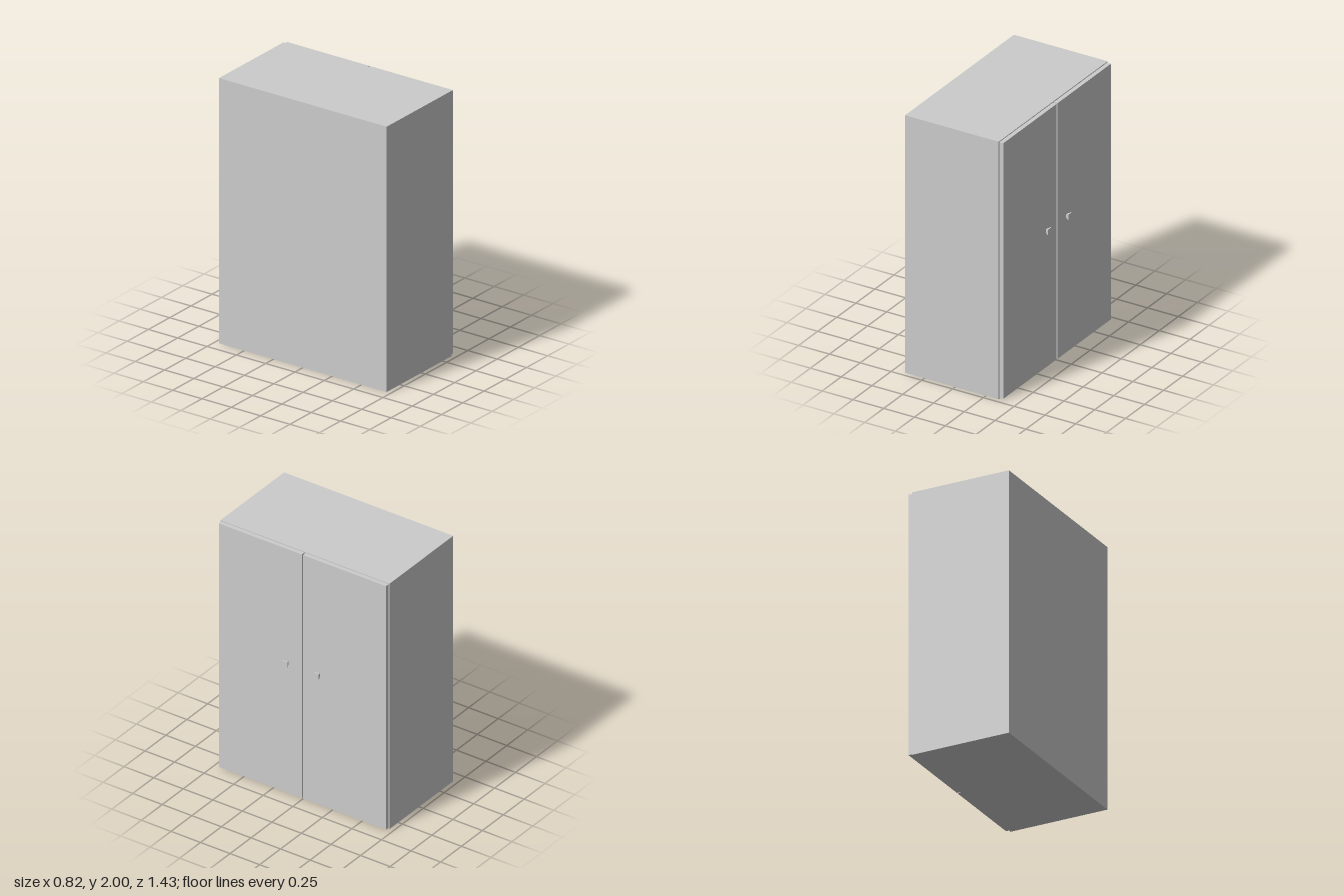
import * as THREE from 'three';

const material = new THREE.MeshStandardMaterial({ color: 0xcccccc, flatShading: true });

// Box given by its minimum and maximum corners
function box(name, [x0, y0, z0], [x1, y1, z1]) {
  const mesh = new THREE.Mesh(new THREE.BoxGeometry(x1 - x0, y1 - y0, z1 - z0), material);
  mesh.position.set((x0 + x1) / 2, (y0 + y1) / 2, (z0 + z1) / 2);
  mesh.name = name;
  return mesh;
}

// Square knob: a stem flaring slightly into a flat head, pointing along +x
function knob(name, x, y, z) {
  const group = new THREE.Group();
  group.name = name;
  const stemGeometry = new THREE.CylinderGeometry(0.017 * Math.SQRT2, 0.014 * Math.SQRT2, 0.017, 4)
    .rotateY(Math.PI / 4).rotateZ(-Math.PI / 2).translate(0.0075, 0, 0);
  const stem = new THREE.Mesh(stemGeometry, material);
  stem.name = 'knobStem';
  group.add(stem, box('knobHead', [0.015, -0.0215, -0.0215], [0.023, 0.0215, 0.0215]));
  group.position.set(x, y, z);
  return group;
}

export function createModel() {
  const model = new THREE.Group();
  model.name = 'wardrobe';

  // Carcass
  model.add(box('cabinetBody', [-0.408, 0, -0.715], [0.353, 2, 0.715]));

  // Pair of doors with a narrow gap between them, mirrored across z
  for (const [side, s] of [['near', 1], ['far', -1]]) {
    const z = [s * 0.005, s * 0.707].sort((a, b) => a - b);
    model.add(box(side + 'Door', [0.353, 0.008, z[0]], [0.385, 1.993, z[1]]));
    model.add(knob(side + 'Knob', 0.385, 1.065, s * 0.133));
  }
  return model;
}
